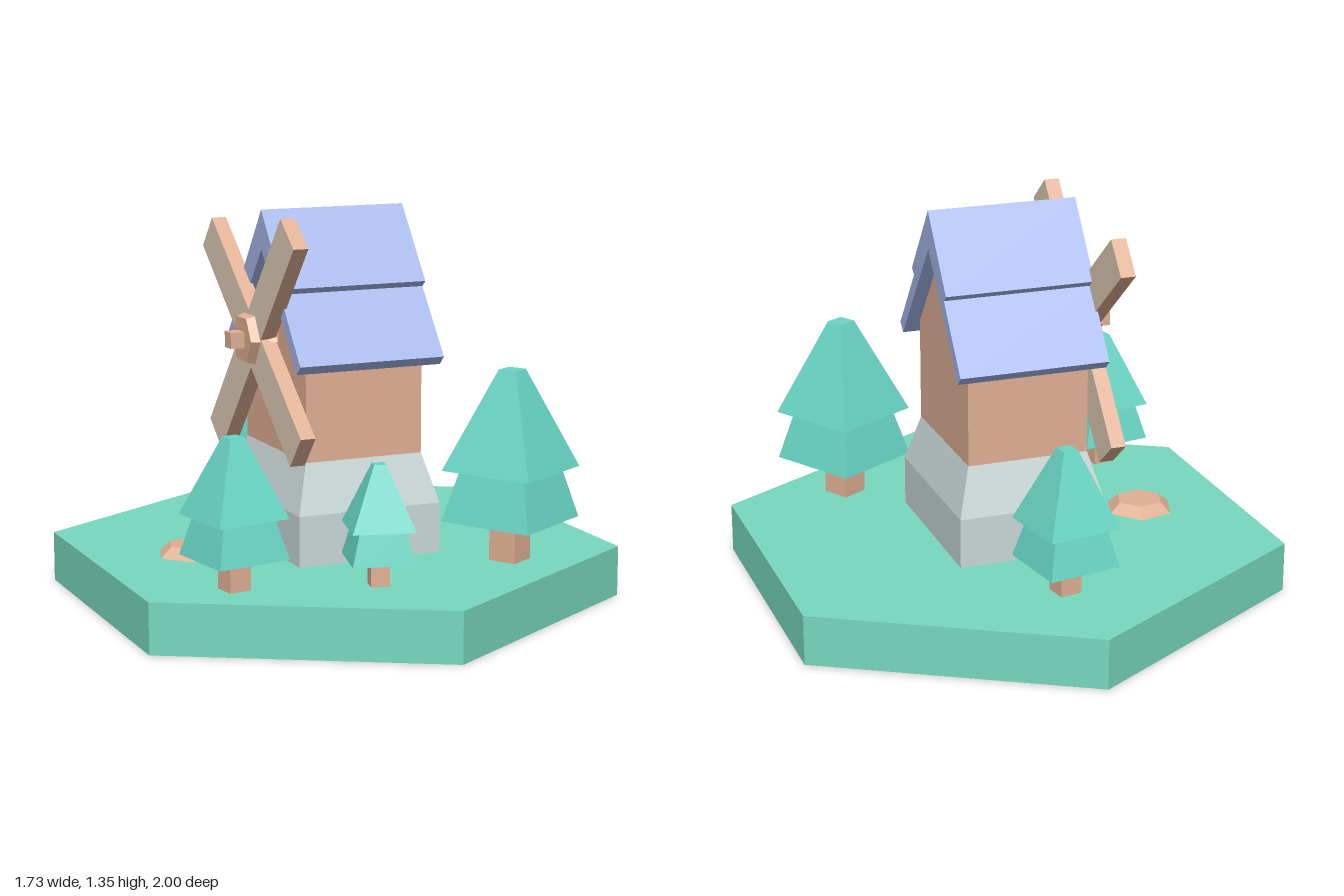
import * as THREE from 'three';

const mat = (color) => new THREE.MeshStandardMaterial({ color, flatShading: true });

export function createModel() {
  const grass = mat(0x78d8be), leaf = mat(0x69d6c6), wood = mat(0xe0b094);
  const stone = mat(0xcbd8d8), roofBlue = mat(0xa6b7ea), sailCloth = mat(0xe2cfb8);
  grass.side = THREE.DoubleSide;
  const GROUND = 0.175;

  const root = new THREE.Group();
  root.name = 'windmillIsland';
  const add = (name, geo, material, parent = root) => {
    const m = new THREE.Mesh(geo, material);
    m.name = name;
    parent.add(m);
    return m;
  };

  // Hexagonal ground tile, open underneath
  add('groundSides', new THREE.CylinderGeometry(1, 1, GROUND, 6, 1, true), grass).position.y = GROUND / 2;
  const top = add('groundTop', new THREE.CircleGeometry(1, 6, Math.PI / 2), grass);
  top.rotation.x = -Math.PI / 2;
  top.position.y = GROUND;

  // Stone foundation: straight footing with a tapered course above
  const footing = add('footing', new THREE.BoxGeometry(0.525, 0.175, 0.625), stone);
  footing.position.y = 0.2625;
  const taperGeo = new THREE.BoxGeometry(0.525, 0.17, 0.625);
  const p = taperGeo.attributes.position;
  for (let i = 0; i < p.count; i++) {
    if (p.getY(i) > 0) p.setXYZ(i, p.getX(i) * 0.82, p.getY(i), p.getZ(i) * 0.83);
  }
  taperGeo.computeVertexNormals();
  add('taperedCourse', taperGeo, stone).position.y = 0.435;

  // Profiles drawn in (z, y) and swept along x
  const sweepX = (name, pts, length, material) => {
    const shape = new THREE.Shape(pts.map(([z, y]) => new THREE.Vector2(z, y)));
    const geo = new THREE.ExtrudeGeometry(shape, { depth: length, bevelEnabled: false });
    geo.translate(0, 0, -length / 2).rotateY(-Math.PI / 2);
    return add(name, geo, material);
  };
  sweepX('house', [[-0.26, 0.52], [0.26, 0.52], [0.26, 0.88], [0, 1.215], [-0.26, 0.88]], 0.43, wood);

  // Stepped gable roof
  const half = [[0.185, 1.1], [0.163, 1.08], [0.33, 0.86], [0.3, 0.83]];
  const mirrored = half.map(([z, y]) => [-z, y]).reverse();
  sweepX('roof', [[0, 1.35], ...half, [0, 1.215], ...mirrored], 0.53, roofBlue);

  // Rotor on the right wall
  const rotor = new THREE.Group();
  rotor.name = 'rotor';
  rotor.position.set(0, 0.912, 0);
  root.add(rotor);
  add('shaft', new THREE.BoxGeometry(0.19, 0.055, 0.055), wood, rotor).position.x = -0.295;
  const hub = add('hub', new THREE.CylinderGeometry(0.085, 0.115, 0.085, 6), wood, rotor);
  hub.rotation.z = Math.PI / 2;
  hub.position.x = -0.297;
  const faces = [sailCloth, sailCloth, wood, wood, wood, wood];
  for (let i = 0; i < 4; i++) {
    const geo = new THREE.BoxGeometry(0.053, 0.458, 0.14).translate(-0.283, 0.279, 0);
    add('sail', geo, faces, rotor).rotation.x = 0.695 + i * Math.PI / 2;
  }

  // Two-tier square pines: x, z, scale, turn
  const pines = [
    [-0.005, -0.605, 1, 0.95],
    [-0.56, 0.47, 1, 0.95],
    [-0.11, 0.61, 0.8, 0.53],
    [0.437, 0.497, 1.3, -0.255],
  ];
  for (const [x, z, s, turn] of pines) {
    const tree = new THREE.Group();
    tree.name = 'pineTree';
    tree.position.set(x, GROUND, z);
    tree.rotation.y = turn;
    tree.scale.setScalar(s);
    root.add(tree);
    const part = (name, rTop, rBottom, y0, y1, material) => {
      add(name, new THREE.CylinderGeometry(rTop, rBottom, y1 - y0, 4), material, tree).position.y = (y0 + y1) / 2;
    };
    part('trunk', 0.055, 0.055, 0, 0.13, wood);
    part('lowerFoliage', 0.135, 0.184, 0.108, 0.245, leaf);
    part('upperFoliage', 0.036, 0.184, 0.243, 0.505, leaf);
  }

  // Flat rock beside the mill
  const rock = add('rock', new THREE.CylinderGeometry(0.085, 0.125, 0.035, 6), wood);
  rock.position.set(-0.52, GROUND + 0.0175, -0.02);
  rock.rotation.y = 0.2;
  rock.rotation.y += Math.PI / 6;

  return root;
}
